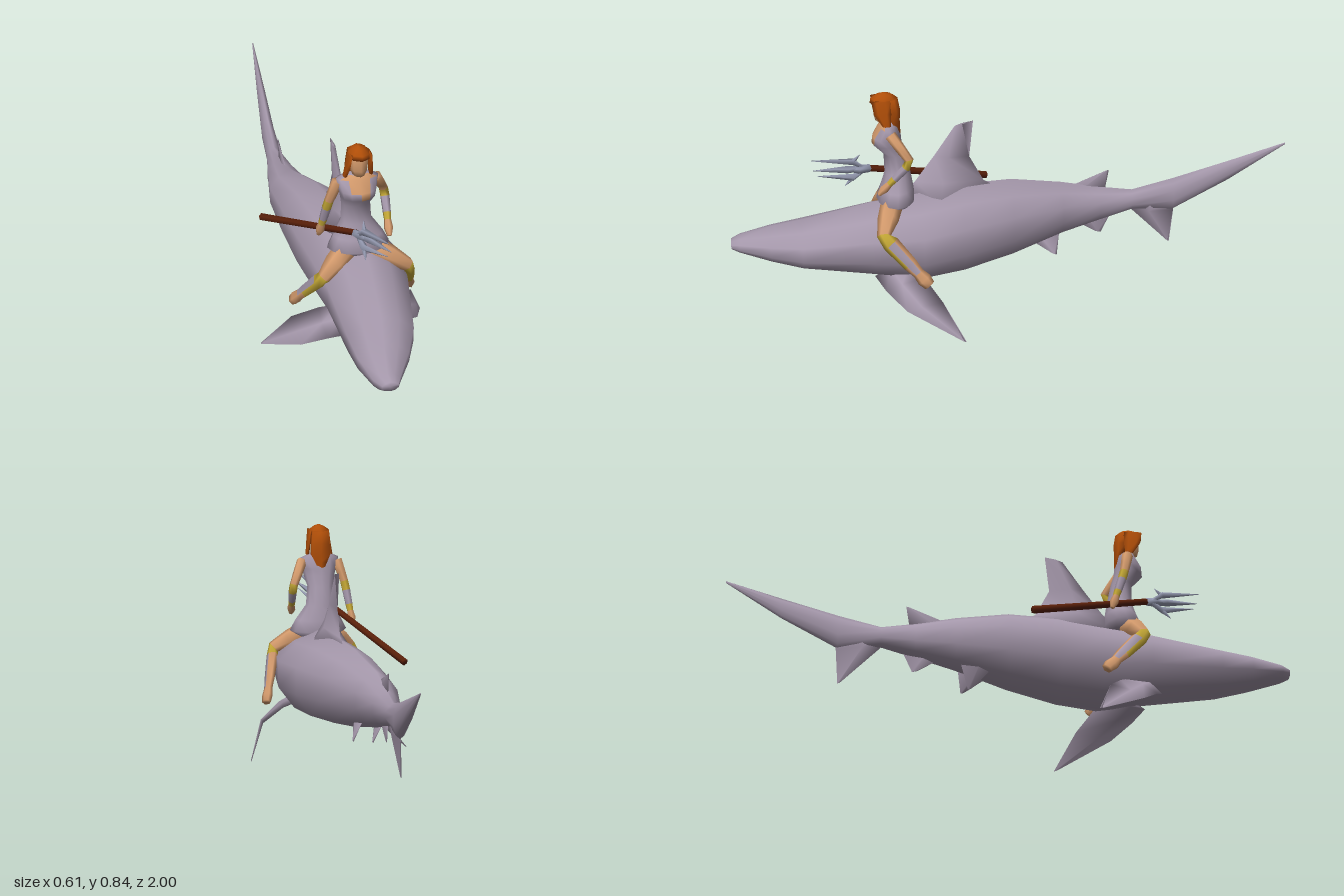
import * as THREE from 'three';

const V = (a) => new THREE.Vector3(a[0], a[1], a[2]);
const mat = (name, color) => {
  const m = new THREE.MeshStandardMaterial({ color });
  m.name = name;
  return m;
};

// Closed skin over rings of points; pick(segment, side) chooses a material index
function loft(name, rings, mats, pick = () => 0) {
  const n = rings[0].length, last = rings.length - 1;
  const pos = [], lists = mats.map(() => []);
  rings.forEach((r) => r.forEach((p) => pos.push(p.x, p.y, p.z)));
  for (let s = 0; s < last; s++) {
    for (let k = 0; k < n; k++) {
      const a = s * n + k, b = s * n + (k + 1) % n;
      lists[pick(s, k)].push(a, b, a + n, b, b + n, a + n);
    }
  }
  for (const end of [0, last]) {
    const c = new THREE.Vector3();
    rings[end].forEach((p) => c.addScaledVector(p, 1 / n));
    const ci = pos.length / 3;
    pos.push(c.x, c.y, c.z);
    for (let k = 0; k < n; k++) {
      const a = end * n + k, b = end * n + (k + 1) % n;
      lists[0].push(...(end ? [a, b, ci] : [b, a, ci]));
    }
  }
  // turn the faces outward when the enclosed volume is negative
  const P = (i) => new THREE.Vector3().fromArray(pos, i * 3);
  const idx = lists.flat();
  let vol = 0;
  for (let i = 0; i < idx.length; i += 3) vol += P(idx[i]).dot(P(idx[i + 1]).cross(P(idx[i + 2])));
  if (vol < 0) for (let i = 0; i < idx.length; i += 3) [idx[i], idx[i + 1]] = [idx[i + 1], idx[i]];
  const g = new THREE.BufferGeometry();
  g.setAttribute('position', new THREE.Float32BufferAttribute(pos, 3));
  g.setIndex(idx);
  let start = 0;
  lists.forEach((l, i) => { g.addGroup(start, l.length, i); start += l.length; });
  g.computeVertexNormals();
  const mesh = new THREE.Mesh(g, mats.length > 1 ? mats : mats[0]);
  mesh.name = name;
  return mesh;
}

const circle = (n, fn) => Array.from({ length: n }, (_, k) => fn(Math.sin(k / n * Math.PI * 2), Math.cos(k / n * Math.PI * 2)));

// Upright form: rows of [y, centre x, centre z, half width, half depth]; side 0 faces the front
const upright = (name, rows, n, mats, pick) => loft(name,
  rows.map(([y, cx, cz, rx, rz]) => circle(n, (s, c) => new THREE.Vector3(cx + rx * s, y, cz + rz * c))), mats, pick);

// Limb: path of [x, y, z, radius, optional depth radius]
function limb(name, path, mats, pick, n = 6) {
  const pts = path.map(V);
  const rings = pts.map((p, i) => {
    const t = pts[Math.min(i + 1, pts.length - 1)].clone().sub(pts[Math.max(i - 1, 0)]).normalize();
    const u = new THREE.Vector3(0, 0, 1).addScaledVector(t, -t.z).normalize();
    const w = t.clone().cross(u);
    const [, , , r, depth = r] = path[i];
    return circle(n, (s, c) => p.clone().addScaledVector(w, s * r).addScaledVector(u, c * depth));
  });
  return loft(name, rings, mats, pick);
}

// Fin: sections of [leading point, trailing point, half thickness] with a diamond profile
function fin(name, sections, side, m) {
  const d = V(side);
  return loft(name, sections.map(([a, b, t]) => {
    const mid = V(a).lerp(V(b), 0.4);
    return [V(a), mid.clone().addScaledVector(d, t), V(b), mid.clone().addScaledVector(d, -t)];
  }), [m]);
}

export function createModel() {
  const root = new THREE.Group();
  root.name = 'sharkRider';
  const grey = mat('lilacGrey', 0xa497aa), skin = mat('skin', 0xd39a6c), red = mat('redHair', 0xb04e08);
  const gold = mat('gold', 0xc4a836), wood = mat('darkWood', 0x5a200a), steel = mat('steel', 0x969bb2);

  const shark = new THREE.Group();
  shark.name = 'shark';
  // Body swept along z: [z, left x, right x, top y, bottom y], curving toward the tail
  const body = [
    [1, -0.07, -0.015, 0.285, 0.25], [0.97, -0.09, 0.0, 0.3, 0.235], [0.86, -0.112, 0.062, 0.335, 0.21],
    [0.75, -0.117, 0.11, 0.365, 0.19], [0.5, -0.12, 0.163, 0.43, 0.163], [0.33, -0.132, 0.178, 0.455, 0.134],
    [0.18, -0.147, 0.138, 0.468, 0.138], [0.0, -0.157, 0.082, 0.46, 0.17], [-0.19, -0.157, -0.005, 0.415, 0.215],
    [-0.33, -0.132, -0.035, 0.385, 0.255], [-0.45, -0.108, -0.053, 0.368, 0.29], [-0.6, -0.092, -0.046, 0.41, 0.285],
    [-0.8, -0.066, -0.038, 0.475, 0.4], [-1, -0.038, -0.034, 0.542, 0.535],
  ];
  // the back is a little more ridged than the belly
  const ridge = (s, c) => (c > 0.5 && c < 0.9 ? 0.9 : 1);
  shark.add(loft('body', body.map(([z, l, r, t, b]) => circle(10, (s, c) => new THREE.Vector3(
    (l + r) / 2 + (r - l) / 2 * s * 1.04 * ridge(s, c), (t + b) / 2 + (t - b) / 2 * c * ridge(s, c), z))), [grey]));

  // Fins along the spine and belly
  const X = [1, 0, 0];
  shark.add(
    fin('dorsalFin', [
      [[0.01, 0.42, 0.42], [-0.02, 0.42, 0.02], 0.07],
      [[0.0, 0.49, 0.345], [-0.012, 0.475, 0.1], 0.026],
      [[-0.01, 0.58, 0.275], [-0.012, 0.57, 0.15], 0.016],
      [[-0.012, 0.69, 0.2], [-0.015, 0.705, 0.135], 0.006],
    ], X, grey),
    fin('rearDorsalFin', [
      [[-0.085, 0.38, -0.19], [-0.085, 0.36, -0.35], 0.007],
      [[-0.085, 0.445, -0.35], [-0.085, 0.45, -0.365], 0.002],
    ], X, grey),
    fin('analFin', [
      [[-0.085, 0.26, -0.23], [-0.08, 0.29, -0.38], 0.012],
      [[-0.085, 0.205, -0.32], [-0.085, 0.2, -0.34], 0.002],
    ], X, grey),
    fin('lowerTailFin', [
      [[-0.08, 0.35, -0.46], [-0.07, 0.33, -0.61], 0.02],
      [[-0.078, 0.29, -0.45], [-0.07, 0.28, -0.605], 0.018],
      [[-0.075, 0.155, -0.585], [-0.075, 0.15, -0.595], 0.002],
    ], X, grey),
    fin('leftPelvicFin', [
      [[-0.03, 0.23, -0.05], [-0.04, 0.25, -0.18], 0.012],
      [[-0.005, 0.165, -0.15], [-0.005, 0.16, -0.165], 0.002],
    ], X, grey),
    fin('rightPelvicFin', [
      [[-0.11, 0.23, -0.05], [-0.12, 0.25, -0.18], 0.012],
      [[-0.08, 0.15, -0.13], [-0.08, 0.145, -0.145], 0.002],
    ], X, grey),
    fin('leftPectoralFin', [
      [[0.07, 0.16, 0.5], [0.07, 0.215, 0.37], 0.022],
      [[0.15, 0.137, 0.465], [0.16, 0.187, 0.33], 0.016],
      [[0.232, 0.098, 0.4], [0.245, 0.132, 0.275], 0.009],
      [[0.3, 0.005, 0.215], [0.302, 0.0, 0.2], 0.002],
    ], [0.5, 0.8, 0], grey),
    fin('rightPectoralFin', [
      [[-0.06, 0.165, 0.54], [-0.06, 0.22, 0.43], 0.022],
      [[-0.12, 0.14, 0.51], [-0.12, 0.187, 0.385], 0.016],
      [[-0.2, 0.088, 0.45], [-0.205, 0.132, 0.335], 0.009],
      [[-0.3, 0.005, 0.295], [-0.304, 0.0, 0.28], 0.002],
    ], [-0.5, 0.8, 0], grey),
  );

  const rider = new THREE.Group();
  rider.name = 'rider';
  // Dress with an open neckline
  rider.add(upright('dress', [
    [0.42, 0.01, 0.41, 0.07, 0.05], [0.443, 0.01, 0.415, 0.108, 0.068], [0.485, 0.01, 0.41, 0.086, 0.058],
    [0.54, 0.004, 0.406, 0.053, 0.045], [0.61, 0, 0.414, 0.05, 0.038], [0.65, 0, 0.44, 0.06, 0.052],
    [0.675, 0, 0.44, 0.065, 0.05], [0.715, 0, 0.432, 0.072, 0.032], [0.73, 0, 0.433, 0.036, 0.024],
  ], 12, [grey, skin], (s, k) => {
    const d = Math.min(k, 11 - k);
    return (s === 5 && k === 0) || (s === 6 && d < 1) || (s === 7 && d < 2) ? 1 : 0;
  }));
  rider.add(upright('neckAndHead', [
    [0.7, 0, 0.433, 0.028, 0.022], [0.728, 0, 0.437, 0.02, 0.022], [0.733, 0, 0.448, 0.02, 0.028],
    [0.755, 0, 0.447, 0.031, 0.035], [0.79, 0, 0.446, 0.034, 0.038], [0.815, 0, 0.443, 0.028, 0.034],
  ], 8, [skin]));

  // Hair: crown, long back lock and two side locks
  const hair = new THREE.Group();
  hair.name = 'hair';
  hair.add(
    upright('crown', [
      [0.8, 0, 0.446, 0.038, 0.048], [0.817, 0, 0.446, 0.036, 0.046], [0.829, 0, 0.445, 0.02, 0.028],
      [0.836, 0, 0.445, 0.004, 0.006],
    ], 8, [red]),
    upright('backLock', [
      [0.815, 0, 0.425, 0.034, 0.027], [0.77, 0, 0.418, 0.039, 0.028], [0.73, 0, 0.41, 0.042, 0.018],
      [0.7, 0, 0.403, 0.026, 0.012], [0.655, 0, 0.395, 0.003, 0.004],
    ], 6, [red]),
  );
  for (const s of [-1, 1]) {
    hair.add(upright('sideLock', [
      [0.815, s * 0.033, 0.458, 0.006, 0.032], [0.77, s * 0.038, 0.453, 0.006, 0.03], [0.725, s * 0.044, 0.44, 0.007, 0.014],
    ], 6, [red]));
  }
  rider.add(hair);

  // Arms: bare upper arm, gold cuffs, grey sleeve, bare hand
  const cuffs = (s) => [0, 0, 1, 2, 1, 0, 0][s];
  const arm = (name, sh, el, ha) => {
    const at = (a, b, t, r) => [...V(a).lerp(V(b), t).toArray(), r];
    rider.add(limb(name, [
      [...sh, 0.02], at(sh, el, 0.5, 0.018), at(sh, el, 0.9, 0.016), at(el, ha, 0.18, 0.016),
      at(el, ha, 0.55, 0.014), at(el, ha, 0.72, 0.012), at(el, ha, 0.9, 0.016), at(el, ha, 1.08, 0.008),
    ], [skin, gold, grey], cuffs));
  };
  arm('leftArm', [0.066, 0.703, 0.43], [0.113, 0.615, 0.365], [0.102, 0.505, 0.47]);
  arm('rightArm', [-0.066, 0.703, 0.43], [-0.093, 0.615, 0.41], [-0.112, 0.478, 0.365]);

  // Legs: bare thigh, gold knee and shin guard, grey outer calf, bare back of calf and foot
  const leg = (name, outer, hip, knee, foot) => {
    const at = (t, r, depth) => [...V(knee).lerp(V(foot), t).toArray(), r, depth];
    const shin = (k) => (k === outer ? 2 : k === 2 || k === 3 ? 0 : 1);
    rider.add(limb(name, [
      [...hip, 0.04], [...V(hip).lerp(V(knee), 0.5).toArray(), 0.037], [...knee, 0.024],
      at(0.16, 0.022, 0.03), at(0.6, 0.018, 0.026), at(0.78, 0.015, 0.02), at(0.92, 0.019, 0.026), at(1.04, 0.016, 0.02),
    ], [skin, gold, grey], (s, k) => (s === 2 ? 1 : s === 3 ? shin(k) : s === 4 && k === outer ? 2 : 0)));
  };
  leg('leftLeg', 4, [0.052, 0.436, 0.43], [0.17, 0.368, 0.47], [0.222, 0.2, 0.325]);
  leg('rightLeg', 1, [-0.035, 0.436, 0.43], [-0.123, 0.363, 0.47], [-0.194, 0.2, 0.33]);
  root.add(shark, rider);

  // Trident: wooden shaft, steel socket and three blades
  const trident = new THREE.Group();
  trident.name = 'trident';
  const butt = [-0.243, 0.383, 0.065], neck = [-0.025, 0.54, 0.5];
  trident.add(limb('shaft', [[...butt, 0.014], [...neck, 0.012]], [wood]));
  trident.add(limb('socket', [[...neck, 0.014], [-0.01, 0.545, 0.54, 0.016], [0.0, 0.55, 0.57, 0.008]], [steel], undefined, 4));
  const blades = [
    [[-0.01, 0.575, 0.56], [0.033, 0.607, 0.705]],
    [[0.005, 0.553, 0.58], [0.042, 0.573, 0.7]],
    [[-0.01, 0.515, 0.56], [0.035, 0.548, 0.685]],
  ];
  for (const [mid, tip] of blades) {
    trident.add(limb('blade', [[-0.02, 0.542, 0.515, 0.007], [...mid, 0.013], [...tip, 0.001]], [steel], undefined, 4));
  }
  for (const [mid, tip] of [[[-0.01, 0.575, 0.56], [-0.005, 0.603, 0.535]], [[-0.01, 0.515, 0.56], [-0.012, 0.483, 0.59]]]) {
    trident.add(limb('barb', [[...mid, 0.01], [...tip, 0.001]], [steel], undefined, 4));
  }
  root.add(trident);
  return root;
}
